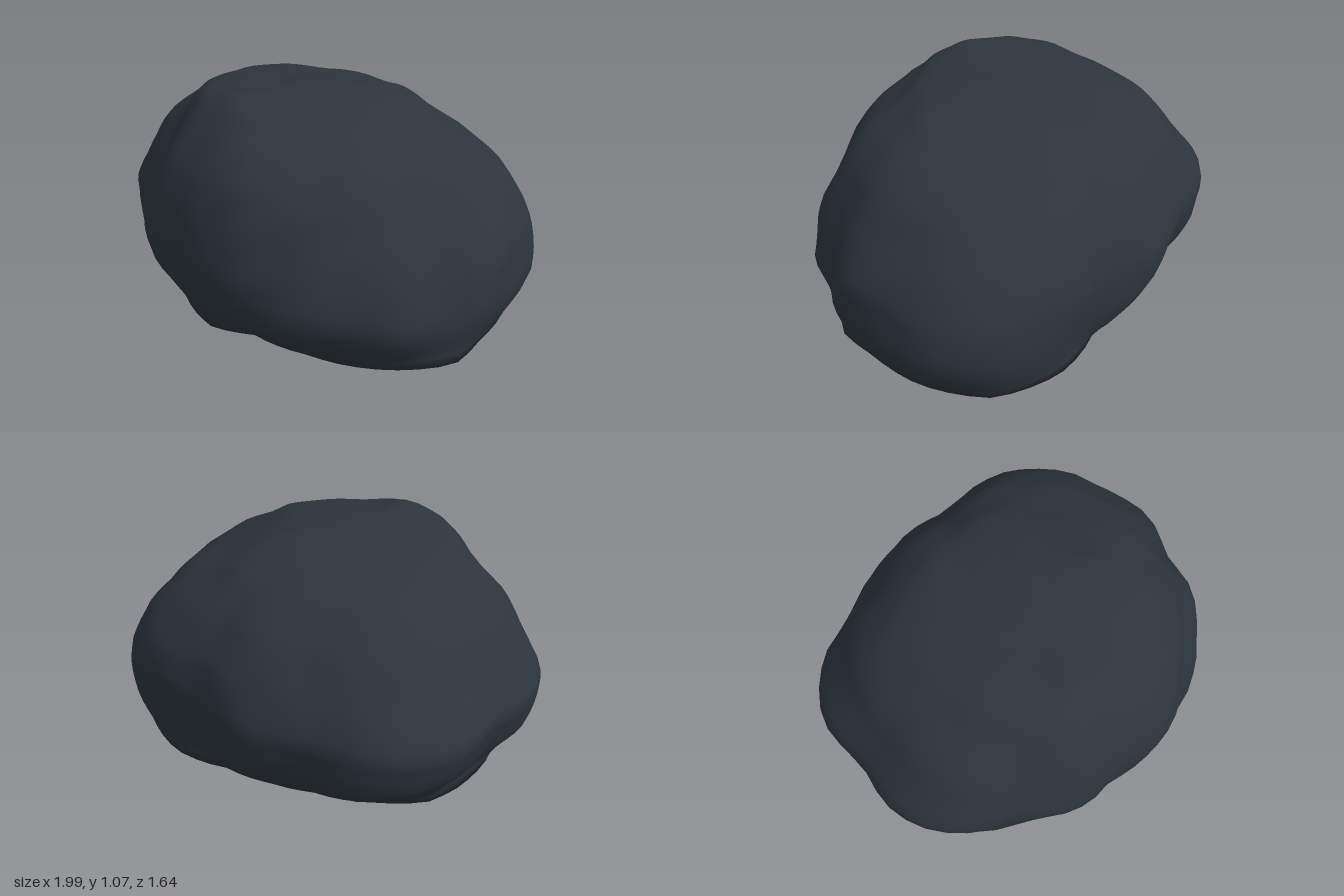
import * as THREE from 'three';
import { mergeVertices } from 'three/addons/utils/BufferGeometryUtils.js';

// Plan outline of the rock (x, z), from the left side round through the front
const OUTLINE = [
  [1, -.12], [.97, 0], [.92, .13], [.93, .22], [.9, .32], [.76, .47], [.68, .58], [.52, .68],
  [.39, .77], [.2, .81], [-.06, .8], [-.27, .82], [-.42, .76], [-.55, .69], [-.77, .61],
  [-.9, .48], [-.97, .34], [-.97, .2], [-.95, .06], [-1, -.18], [-.98, -.28], [-.92, -.4],
  [-.79, -.53], [-.55, -.62], [-.42, -.7], [-.28, -.77], [.08, -.77], [.2, -.8], [.39, -.83],
  [.6, -.81], [.74, -.72], [.84, -.62], [.92, -.42],
];

// Smaller outline where the rock meets the ground
const FOOT = [
  [.94, .02], [.8, .27], [.5, .49], [.24, .59], [.08, .71], [-.24, .66], [-.52, .59], [-.72, .42],
  [-.8, .25], [-.83, 0], [-.8, -.16], [-.65, -.33], [-.4, -.5], [-.23, -.6], [0, -.69],
  [.26, -.79], [.58, -.73], [.8, -.48], [.89, -.2],
];

// Height and extents of each level: y, xMin, xMax, zMin, zMax
const LEVELS = [
  [.02, -.82, .94, -.78, .71], [.12, -.88, .98, -.81, .785], [.25, -.95, 1, -.82, .82],
  [.38, -.985, .985, -.825, .825], [.48, -1, .965, -.82, .815], [.6, -.92, .89, -.78, .79],
  [.7, -.85, .81, -.72, .76], [.8, -.78, .74, -.645, .715], [.9, -.67, .63, -.53, .64],
  [.97, -.56, .5, -.41, .575], [1.02, -.46, .4, -.2, .52], [1.045, -.28, .26, -.02, .44],
  [1.05, -.05, -.05, .22, .22],
];

// Dents (and bumps, with negative depth): x, y, z, radius, depth
const DENTS = [
  [.9, .48, .08, .14, .03], [.36, .24, .74, .15, .035], [-.3, .18, .8, .18, .02],
  [-.8, .28, .58, .14, .025], [.56, .55, .58, .14, .03], [.56, .3, .66, .11, -.015],
  [-.04, 1.06, .39, .09, -.03], [-.03, 1.05, .03, .1, -.015], [.44, .95, -.28, .22, .05],
  [.35, .84, -.5, .18, .035], [.6, .85, .1, .15, .015], [.3, 1, .42, .2, .035],
  [-.44, .73, .58, .19, .05], [-.45, .2, -.65, .16, .015],
];

const SIDES = 64, RINGS = 26;

// Radius of a closed outline at an angle, by linear interpolation
function polar(outline) {
  const rays = outline.map(([x, z]) => [Math.atan2(z, x), Math.hypot(x, z)]).sort((p, q) => p[0] - q[0]);
  const first = rays[0], last = rays[rays.length - 1], turn = 2 * Math.PI;
  const loop = [[last[0] - turn, last[1]], ...rays, [first[0] + turn, first[1]]];
  return (angle) => {
    const k = loop.findIndex((ray) => ray[0] > angle);
    const [a0, r0] = loop[k - 1], [a1, r1] = loop[k];
    return THREE.MathUtils.mapLinear(angle, a0, a1, r0, r1);
  };
}

// Small uneven surface relief
const relief = (p) =>
  .007 * Math.sin(7 * p.x + 5 * p.y + 1) * Math.sin(6 * p.z - 4 * p.y) +
  .006 * Math.sin(13 * p.x - 9 * p.z + 2) * Math.sin(12 * p.y + 8 * p.z) +
  .004 * Math.sin(21 * p.z + 17 * p.x) * Math.sin(19 * p.y - 11 * p.x);

function ringPoints() {
  const { lerp } = THREE.MathUtils;
  const outlineRadius = polar(OUTLINE), footRadius = polar(FOOT);
  const xs = new THREE.CatmullRomCurve3(LEVELS.map((l) => new THREE.Vector3(l[0], l[1], l[2])));
  const zs = new THREE.CatmullRomCurve3(LEVELS.map((l) => new THREE.Vector3(l[0], l[3], l[4])));
  // uniform splines, so both share the same height at each parameter
  xs.curveType = zs.curveType = 'catmullrom';
  const points = [], core = new THREE.Vector3(0, .4, 0);
  for (let i = 0; i <= RINGS; i++) {
    const t = i / RINGS, ex = xs.getPoint(t), ez = zs.getPoint(t);
    const rise = Math.sin(Math.min(t / .2, 1) * Math.PI / 2);
    for (let j = 0; j < SIDES; j++) {
      const angle = (j / SIDES) * 2 * Math.PI - Math.PI;
      const cos = Math.cos(angle), sin = Math.sin(angle);
      const r = outlineRadius(angle), foot = footRadius(angle);
      // the outline grows rounder toward the top
      const a = Math.atan2(sin / .825, cos);
      const ox = lerp(r * cos, Math.cos(a), .6 * t);
      const oz = lerp(r * sin / .825, Math.sin(a), .6 * t);
      const x = (ex.y + ex.z) / 2 + ox * (ex.z - ex.y) / 2;
      const z = (ez.y + ez.z) / 2 + oz * (ez.z - ez.y) / 2;
      // and blends into the foot below
      const p = new THREE.Vector3(lerp(foot * cos, x, rise), ex.x, lerp(foot * sin, z, rise));
      p.y += (.03 * p.z * p.z + .01 * p.z - .016 * p.x) * (1 - t) ** 4;
      let push = relief(p);
      for (const [dx, dy, dz, radius, depth] of DENTS) {
        push -= depth * Math.exp(-((p.x - dx) ** 2 + (p.y - dy) ** 2 + (p.z - dz) ** 2) / radius ** 2);
      }
      const out = p.clone().sub(core).normalize();
      if (i < 2) out.y *= i / 2;
      // the foot outline is already final, so relief fades in above it
      points.push(p.addScaledVector(out, push * rise));
    }
  }
  return points;
}

export function createModel() {
  const group = new THREE.Group();
  group.name = 'rock';
  const stone = new THREE.MeshStandardMaterial({ color: 0x2c353d });
  stone.name = 'dark slate stone';

  // Domed body, closed below by a fan round the middle of the underside
  const points = ringPoints();
  const middle = points.push(new THREE.Vector3(0, .02, 0)) - 1;
  const index = [];
  for (let j = 0; j < SIDES; j++) {
    const k = (j + 1) % SIDES;
    index.push(middle, j, k);
    for (let i = 0; i < RINGS; i++) {
      const a = i * SIDES + j, b = i * SIDES + k, c = a + SIDES, d = b + SIDES;
      index.push(a, c, b);
      if (i < RINGS - 1) index.push(b, c, d);
    }
  }
  const shell = new THREE.BufferGeometry().setFromPoints(points);
  shell.setIndex(index);
  const geometry = mergeVertices(shell, 1e-4);
  geometry.computeVertexNormals();
  const body = new THREE.Mesh(geometry, stone);
  body.name = 'rockBody';
  group.add(body);
  return group;
}
